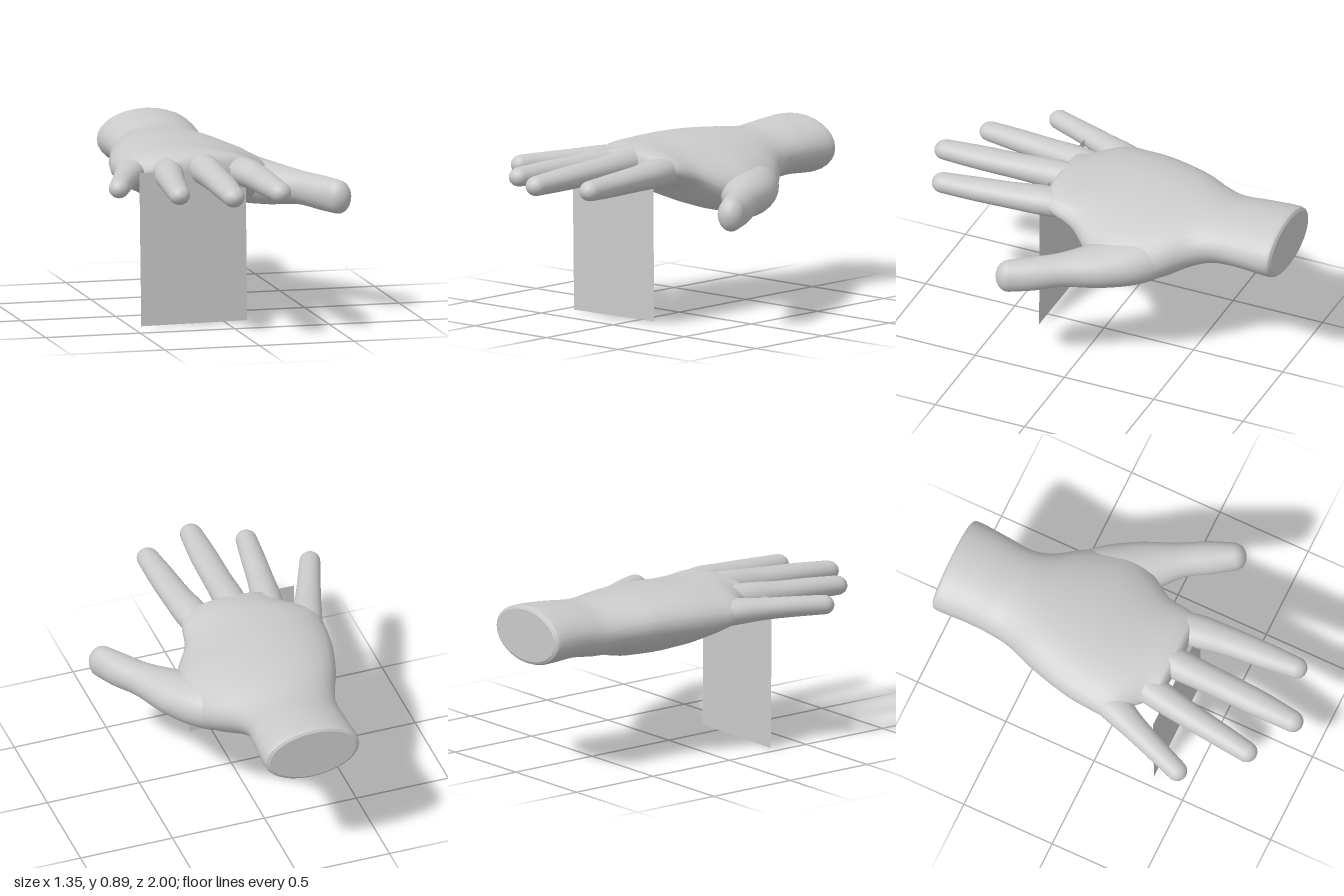
import * as THREE from 'three';

const SIDES = 28;

// Smooth loft through sections [x, y, z, halfWidth, up, down, tilt], closed by a rounded tip.
function loft(sections, steps, tipLength, fixedSide) {
  const curve = (f) => new THREE.CatmullRomCurve3(sections.map(f), false, 'catmullrom', 0.5);
  const centre = curve((s) => new THREE.Vector3(s[0], s[1], s[2]));
  const size = curve((s) => new THREE.Vector3(s[3], s[4], s[5]));
  const lean = curve((s) => new THREE.Vector3(s[6] || 0, 0, 0));
  const up = new THREE.Vector3(0, 1, 0);
  const pos = [], index = [];

  const addRing = (t, scale, push) => {
    const c = centre.getPoint(t), r = size.getPoint(t), tilt = lean.getPoint(t).x;
    const dir = centre.getTangent(t);
    if (fixedSide) dir.set(0, 0, 1);
    const side = new THREE.Vector3().crossVectors(up, dir).normalize();
    c.addScaledVector(dir, push);
    for (let j = 0; j < SIDES; j++) {
      const a = (j / SIDES) * Math.PI * 2, k = Math.cos(a) * scale, s = Math.sin(a) * scale;
      const p = c.clone().addScaledVector(side, k * r.x);
      p.y += s * (s > 0 ? r.y : r.z) + k * tilt;
      pos.push(p.x, p.y, p.z);
    }
  };

  for (let i = 0; i <= steps; i++) addRing(i / steps, 1, 0);
  const capRings = 7;
  for (let i = 1; i <= capRings; i++) {
    const a = (i / capRings) * Math.PI / 2;
    addRing(1, Math.max(Math.cos(a), 0.01), Math.sin(a) * tipLength);
  }
  for (let i = 0; i < steps + capRings; i++) {
    for (let j = 0; j < SIDES; j++) {
      const a = i * SIDES + j, b = i * SIDES + (j + 1) % SIDES;
      index.push(a, b, a + SIDES, b, b + SIDES, a + SIDES);
    }
  }
  const g = new THREE.BufferGeometry();
  g.setAttribute('position', new THREE.Float32BufferAttribute(pos, 3));
  g.setIndex(index);
  g.computeVertexNormals();
  return g;
}

export function createModel() {
  const group = new THREE.Group();
  group.name = 'hand';
  const grey = new THREE.MeshStandardMaterial({ color: 0xcacaca, side: THREE.DoubleSide });
  grey.name = 'plain grey';
  const add = (name, geometry) => {
    const mesh = new THREE.Mesh(geometry, grey);
    mesh.name = name;
    group.add(mesh);
    return mesh;
  };

  // Wrist and palm in one loft, from the cut wrist to the knuckles
  add('palm', loft([
    [-0.085, 0.743, -1.0, 0.235, 0.135, 0.135],
    [-0.085, 0.743, -0.97, 0.259, 0.152, 0.152],
    [-0.088, 0.74, -0.8, 0.252, 0.145, 0.14],
    [-0.093, 0.73, -0.66, 0.25, 0.14, 0.145],
    [-0.083, 0.72, -0.55, 0.282, 0.155, 0.15, -0.02],
    [-0.055, 0.705, -0.4, 0.37, 0.175, 0.175, -0.05],
    [-0.045, 0.695, -0.2, 0.437, 0.185, 0.17, -0.06],
    [-0.09, 0.71, -0.05, 0.412, 0.17, 0.14, -0.04],
    [-0.135, 0.745, 0.08, 0.362, 0.135, 0.1, -0.01],
    [-0.09, 0.77, 0.19, 0.29, 0.107, 0.08],
    [-0.082, 0.783, 0.25, 0.265, 0.085, 0.072],
  ], 60, 0.04, true));

  // Flat cut face of the wrist
  const cut = add('wristEnd', new THREE.CircleGeometry(1, SIDES));
  cut.scale.set(0.235, 0.135, 1);
  cut.rotation.y = Math.PI;
  cut.position.set(-0.085, 0.743, -1);

  // Four fingers
  const fingers = {
    littleFinger: [
      [-0.36, 0.745, -0.1, 0.09, 0.07, 0.07], [-0.435, 0.762, 0.08, 0.084, 0.065, 0.07],
      [-0.5, 0.766, 0.23, 0.067, 0.055, 0.058], [-0.56, 0.766, 0.38, 0.059, 0.051, 0.054],
      [-0.617, 0.762, 0.525, 0.053, 0.05, 0.05],
    ],
    ringFinger: [
      [-0.255, 0.775, 0.1, 0.08, 0.07, 0.07], [-0.292, 0.778, 0.28, 0.078, 0.07, 0.075],
      [-0.322, 0.774, 0.46, 0.068, 0.06, 0.062], [-0.348, 0.77, 0.64, 0.062, 0.056, 0.058],
      [-0.371, 0.765, 0.803, 0.055, 0.05, 0.05],
    ],
    middleFinger: [
      [-0.09, 0.79, 0.1, 0.08, 0.07, 0.075], [-0.102, 0.797, 0.28, 0.082, 0.074, 0.08],
      [-0.106, 0.79, 0.5, 0.074, 0.062, 0.068], [-0.112, 0.78, 0.74, 0.07, 0.056, 0.062],
      [-0.121, 0.768, 0.943, 0.057, 0.05, 0.053],
    ],
    indexFinger: [
      [0.07, 0.765, 0.08, 0.075, 0.06, 0.07], [0.108, 0.775, 0.28, 0.088, 0.07, 0.076],
      [0.13, 0.772, 0.46, 0.077, 0.062, 0.068], [0.143, 0.766, 0.66, 0.069, 0.056, 0.062],
      [0.153, 0.76, 0.835, 0.057, 0.052, 0.053],
    ],
  };
  for (const [name, sections] of Object.entries(fingers)) {
    add(name, loft(sections, 28, sections[4][3]));
  }

  // Thumb with the fleshy mound at its root
  add('thumb', loft([
    [0.08, 0.67, -0.5, 0.08, 0.08, 0.09],
    [0.22, 0.647, -0.3, 0.145, 0.12, 0.125],
    [0.35, 0.635, -0.13, 0.135, 0.105, 0.112],
    [0.468, 0.635, 0.03, 0.092, 0.083, 0.09],
    [0.55, 0.625, 0.16, 0.084, 0.086, 0.09],
    [0.608, 0.62, 0.265, 0.07, 0.084, 0.09],
  ], 36, 0.066));

  // Upright thin card under the knuckles
  const card = new THREE.Shape([
    new THREE.Vector2(-0.445, 0), new THREE.Vector2(0.115, 0.007),
    new THREE.Vector2(0.107, 0.8), new THREE.Vector2(-0.455, 0.797),
  ]);
  add('card', new THREE.ShapeGeometry(card)).position.z = 0.313;

  return group;
}
